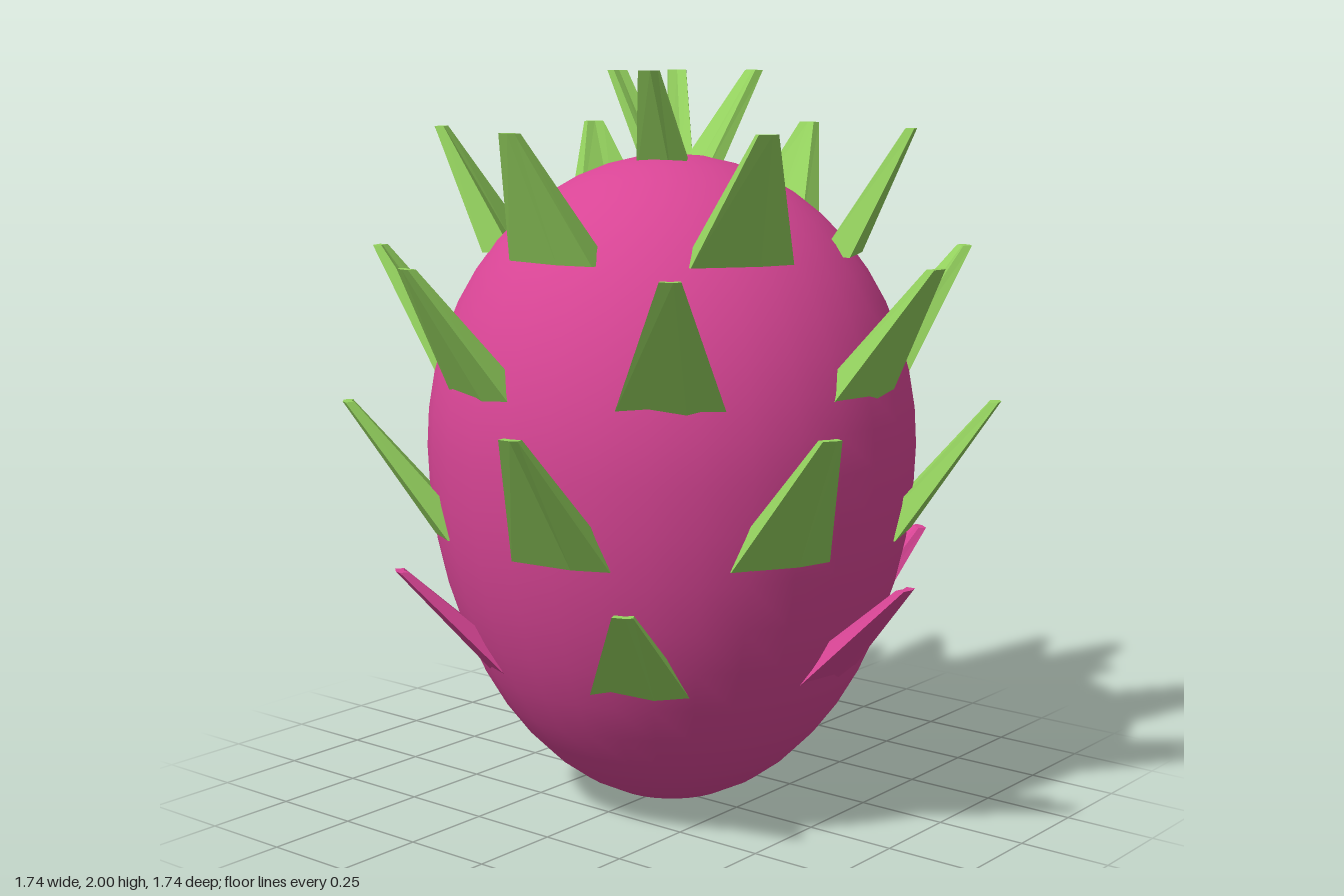
import * as THREE from 'three';

const CX = 0.02; // the fruit sits slightly off centre because of its spikes

// Scale cross-section (x across, z outward): ridged outside, hollowed inside
const SECTION = [[-0.14, 0], [0.04, 0.02], [0.14, 0], [0.13, -0.08], [0, -0.06], [-0.13, -0.08]];

// Tapered scale rising h and leaning outward by lean; the first group is its left outer face
function scaleGeometry(h, lean, width = 1, depth = 1) {
  const base = SECTION.map(([x, z]) => [x * width, 0, z * depth]);
  const tip = SECTION.map(([x, z]) => [x * 0.19, h, lean + z * 0.3]);
  const pos = [];
  const n = SECTION.length;
  for (let i = 0; i < n; i++) {
    const j = (i + 1) % n;
    pos.push(...base[i], ...base[j], ...tip[j], ...base[i], ...tip[j], ...tip[i]);
  }
  for (let i = 1; i < n - 1; i++) {
    pos.push(...tip[0], ...tip[i], ...tip[i + 1]);
    pos.push(...base[0], ...base[i + 1], ...base[i]);
  }
  const g = new THREE.BufferGeometry();
  g.setAttribute('position', new THREE.Float32BufferAttribute(pos, 3));
  g.computeVertexNormals();
  g.addGroup(0, 6, 0);
  g.addGroup(6, pos.length / 3 - 6, 1);
  return g;
}

export function createModel() {
  const model = new THREE.Group();
  model.name = 'spikyFruit';
  const pink = new THREE.MeshStandardMaterial({ color: 0xd84595 });
  pink.name = 'pink skin';
  const green = new THREE.MeshStandardMaterial({ color: 0x95d35f });
  green.name = 'green scale';

  // Egg-shaped body: longer below the widest line than above it
  const profile = [];
  for (let i = 0; i <= 24; i++) {
    const a = -Math.PI / 2 + (i / 24) * Math.PI;
    const s = Math.sin(a);
    profile.push(new THREE.Vector2(Math.max(0, 0.665 * Math.cos(a)), 1 + s * (s < 0 ? 1 : 0.78)));
  }
  const body = new THREE.Mesh(new THREE.LatheGeometry(profile, 32), pink);
  body.name = 'body';
  body.position.x = CX;
  model.add(body);

  // Rings of scales; start is the angle of the first one from +x towards +z
  const rings = [
    { name: 'lowerScale', count: 6, start: 0, y: 0.40, h: 0.30, foot: 0.50, tip: 0.775 },
    { name: 'middleScale', count: 7, start: 180, y: 0.78, h: 0.36, foot: 0.635, tip: 0.885 },
    { name: 'upperScale', count: 7, start: 0, y: 1.17, h: 0.35, foot: 0.62, tip: 0.845 },
    { name: 'shoulderScale', count: 6, start: 90, y: 1.52, h: 0.33, foot: 0.49, tip: 0.645 },
  ];
  // The lowest ring is mostly pink, with one green and one two-coloured scale
  const lowerColours = [pink, green, [green, pink], pink, pink, pink];
  for (const r of rings) {
    const geometry = scaleGeometry(r.h, r.tip - r.foot);
    for (let k = 0; k < r.count; k++) {
      const a = THREE.MathUtils.degToRad(r.start + (360 * k) / r.count);
      const colour = r.name === 'lowerScale' ? lowerColours[k] : green;
      const m = new THREE.Mesh(geometry, colour);
      m.name = r.name;
      m.position.set(CX + Math.cos(a) * r.foot, r.y, Math.sin(a) * r.foot);
      m.rotation.y = Math.PI / 2 - a;
      model.add(m);
    }
  }

  // Small crown leaves on top: foot x, z, tip x, z, width
  const crown = [
    [0.05, -0.09, 0.11, -0.26, 0.55],
    [0.05, 0.07, 0.11, 0.21, 0.55],
    [-0.02, 0.02, -0.18, 0, 0.25],
    [-0.02, -0.09, -0.18, -0.27, 0.25],
  ];
  for (const [fx, fz, tx, tz, w] of crown) {
    const dx = tx - fx, dz = tz - fz;
    const leaf = new THREE.Mesh(scaleGeometry(0.28, Math.hypot(dx, dz), w, 0.5), green);
    leaf.name = 'crownLeaf';
    leaf.position.set(fx, 1.72, fz);
    leaf.rotation.y = Math.atan2(dx, dz);
    model.add(leaf);
  }
  return model;
}
